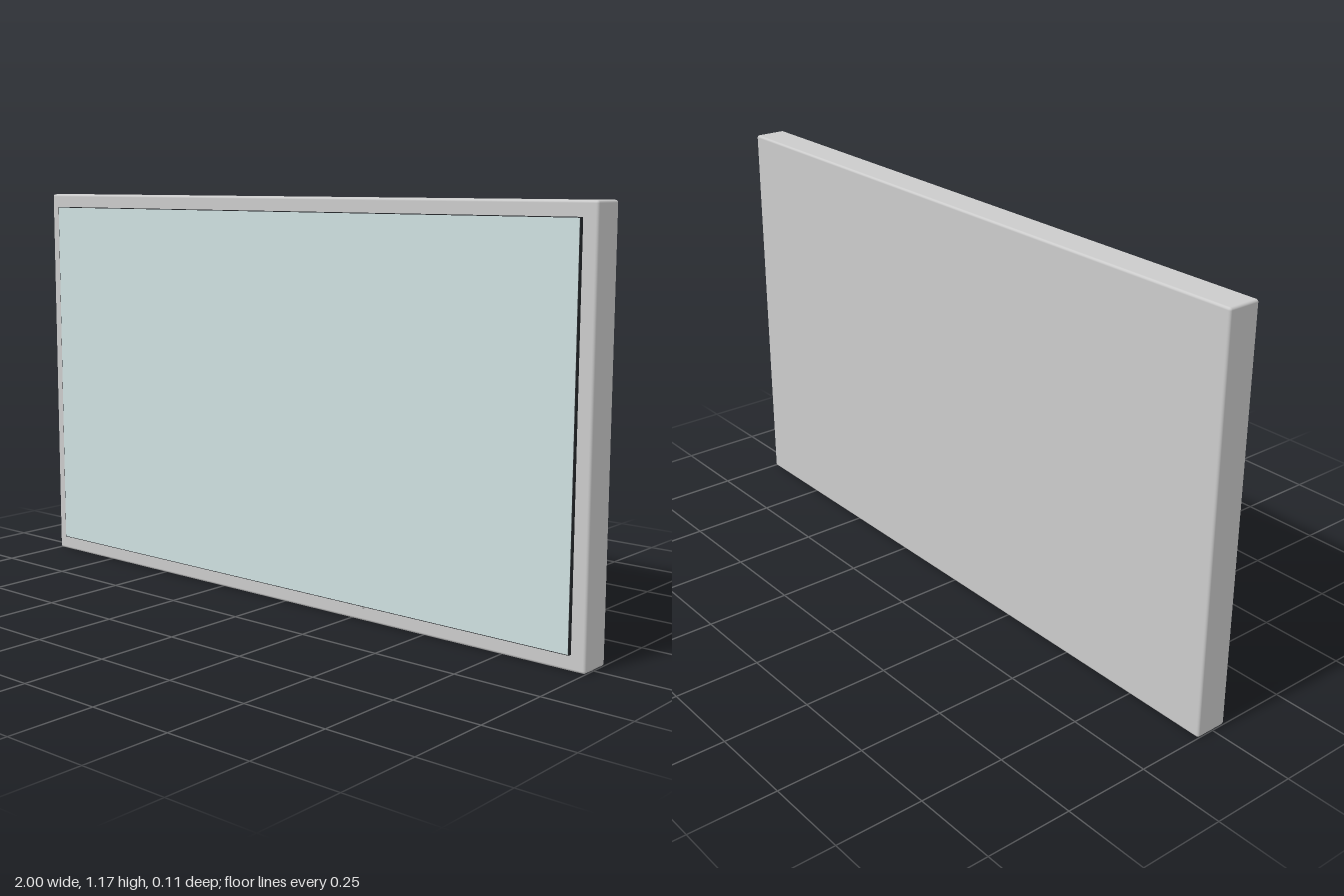
import * as THREE from 'three';
import { RoundedBoxGeometry } from 'three/addons/geometries/RoundedBoxGeometry.js';

const grey = new THREE.MeshStandardMaterial({ color: 0xcccccc });
const dark = new THREE.MeshStandardMaterial({ color: 0x25282b });
const glass = new THREE.MeshStandardMaterial({ color: 0xcfe0e0 });

export function createModel() {
  const group = new THREE.Group();
  const add = (name, geometry, material, x, y, z) => {
    const mesh = new THREE.Mesh(geometry, material);
    mesh.name = name;
    mesh.position.set(x, y, z);
    group.add(mesh);
  };

  // Flat cabinet with softened edges
  add('cabinet', new RoundedBoxGeometry(2, 1.172, 0.098, 2, 0.007), grey, 0, 0.586, -0.006);

  // Dark panel standing proud of the front, faced with pale glass
  add('screenPanel', new THREE.BoxGeometry(1.918, 1.088, 0.02), dark, 0, 0.588, 0.0445);
  add('screenGlass', new THREE.BoxGeometry(1.914, 1.084, 0.002), glass, 0, 0.588, 0.0545);

  // Narrow strip under the screen
  add('lowerStrip', new THREE.BoxGeometry(0.6, 0.012, 0.014), grey, 0, 0.042, 0.045);

  return group;
}
